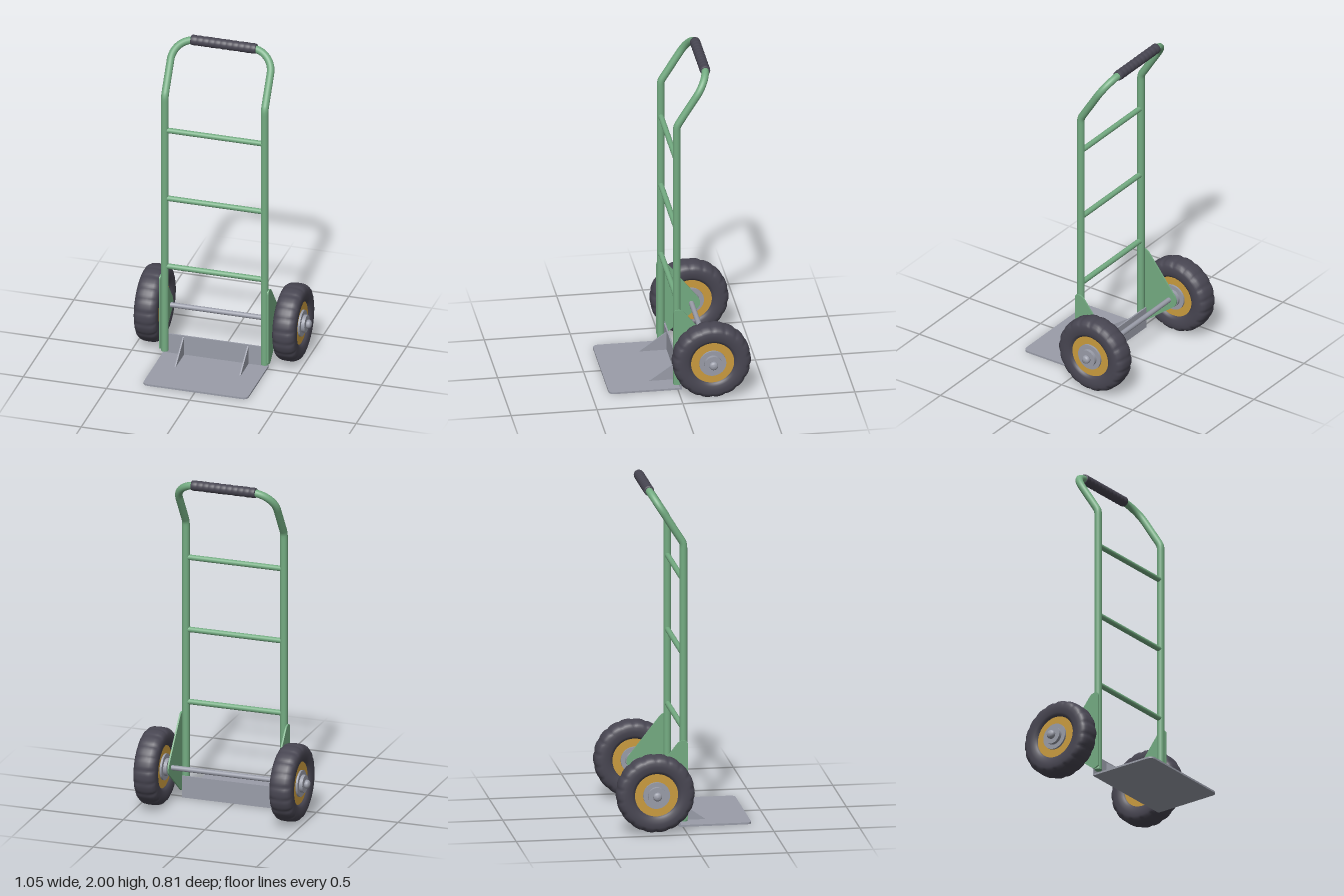
import * as THREE from 'three';
import { mergeVertices } from 'three/addons/utils/BufferGeometryUtils.js';

const mat = (name, color, side = THREE.FrontSide) => {
  const m = new THREE.MeshStandardMaterial({ color, side });
  m.name = name;
  return m;
};
const V = (x, y, z) => new THREE.Vector3(x, y, z);
const points = list => list.map(([x, y]) => new THREE.Vector2(x, y));

export function createModel() {
  const green = mat('green paint', 0x74ac82);
  const steel = mat('steel', 0x9a9da9);
  const rubber = mat('dark rubber', 0x484652);
  const gold = mat('yellow rim', 0xcb9c3e);

  const root = new THREE.Group();
  root.name = 'handTruck';
  const add = (name, geometry, material, x = 0, y = 0, z = 0, parent = root) => {
    const mesh = new THREE.Mesh(geometry, material);
    mesh.name = name;
    mesh.position.set(x, y, z);
    parent.add(mesh);
    return mesh;
  };
  // cylinder lying along x
  const rod = (r, length, seg = 24) =>
    new THREE.CylinderGeometry(r, r, length, seg).rotateZ(Math.PI / 2);
  // outline in (z, y), extruded along x and centred on x = 0
  const sidePlate = (shape, thickness) =>
    new THREE.ExtrudeGeometry(shape, { depth: thickness, bevelEnabled: false, curveSegments: 10 })
      .translate(0, 0, -thickness / 2).rotateY(-Math.PI / 2);

  const postX = 0.3, postZ = 0.005, tubeR = 0.022;
  const bendY = 1.68, topY = 1.97, topZ = -0.178;
  const axleY = 0.233, axleZ = -0.178;

  // Bent tube frame: two posts, leaning back into a rounded handle
  const leanLength = Math.hypot(topY - bendY, topZ - postZ);
  const lean = (x, d) => V(x, bendY + (topY - bendY) * d / leanLength,
    postZ + (topZ - postZ) * d / leanLength);
  const half = side => {
    const x = side * postX, c = 0.13, k = 0.45;
    return {
      foot: V(x, 0.035, postZ), low: V(x, bendY - 0.02, postZ), knee: V(x, bendY, postZ),
      up: lean(x, 0.02), corner0: lean(x, leanLength - c),
      ctrl0: lean(x, leanLength - c * k), ctrl1: lean(side * (postX - c * k), leanLength),
      corner1: lean(side * (postX - c), leanLength),
    };
  };
  const l = half(-1), r = half(1);
  const path = new THREE.CurvePath();
  path.add(new THREE.LineCurve3(l.foot, l.low));
  path.add(new THREE.QuadraticBezierCurve3(l.low, l.knee, l.up));
  path.add(new THREE.LineCurve3(l.up, l.corner0));
  path.add(new THREE.CubicBezierCurve3(l.corner0, l.ctrl0, l.ctrl1, l.corner1));
  path.add(new THREE.LineCurve3(l.corner1, r.corner1));
  path.add(new THREE.CubicBezierCurve3(r.corner1, r.ctrl1, r.ctrl0, r.corner0));
  path.add(new THREE.LineCurve3(r.corner0, r.up));
  path.add(new THREE.QuadraticBezierCurve3(r.up, r.knee, r.low));
  path.add(new THREE.LineCurve3(r.low, r.foot));
  add('frameTube', new THREE.TubeGeometry(path, 260, tubeR, 20), green);

  // Cross rungs
  for (const y of [0.58, 1.02, 1.46]) add('rung', rod(0.016, 0.58), green, 0, y, postZ);

  // Ribbed hand grip
  const gripHalf = 0.195, gripProfile = [[0.02, -gripHalf]];
  for (let i = 0; i <= 88; i++) {
    const t = i / 88;
    gripProfile.push([0.0285 + 0.002 * Math.abs(Math.sin(t * Math.PI * 11)),
      -gripHalf + 2 * gripHalf * t]);
  }
  gripProfile.push([0.02, gripHalf]);
  add('handGrip', new THREE.LatheGeometry(points(gripProfile), 24).rotateZ(Math.PI / 2),
    rubber, 0, topY, topZ);

  // Toe plate with rounded front corners
  const w = 0.315, front = 0.4, back = -0.02, cr = 0.035;
  const toe = new THREE.Shape();
  toe.moveTo(-w, -back);
  toe.lineTo(-w, -front + cr);
  toe.quadraticCurveTo(-w, -front, -w + cr, -front);
  toe.lineTo(w - cr, -front);
  toe.quadraticCurveTo(w, -front, w, -front + cr);
  toe.lineTo(w, -back);
  add('toePlate', new THREE.ExtrudeGeometry(toe,
    { depth: 0.011, bevelEnabled: false, curveSegments: 8 }).rotateX(-Math.PI / 2), steel);
  add('backPlate', new THREE.BoxGeometry(2 * w, 0.132, 0.009), steel, 0, 0.066, -0.0175);

  // Triangular ribs on the toe plate
  const rib = new THREE.Shape(points([[-0.015, 0.008], [0.145, 0.008], [0.145, 0.013], [-0.015, 0.125]]));
  for (const s of [-1, 1]) add('toeRib', sidePlate(rib, 0.008), steel, s * 0.194);

  // Axle brackets
  const bracket = new THREE.Shape();
  bracket.moveTo(0.026, 0.05);
  bracket.lineTo(0.026, 0.495);
  bracket.quadraticCurveTo(0.024, 0.516, 0.004, 0.516);
  bracket.quadraticCurveTo(-0.022, 0.516, -0.038, 0.495);
  bracket.lineTo(-0.215, 0.27);
  bracket.quadraticCurveTo(-0.242, 0.232, -0.215, 0.2);
  bracket.lineTo(-0.02, 0.045);
  bracket.quadraticCurveTo(0, 0.03, 0.026, 0.05);
  for (const s of [-1, 1]) add('axleBracket', sidePlate(bracket, 0.009), green, s * 0.3245);

  add('axle', rod(0.015, 1.0), steel, 0, axleY, axleZ);

  // Tyre: lathed section with shallow tread grooves pressed into the outer rim
  const tyre = new THREE.LatheGeometry(points([
    [0.122, -0.045], [0.131, -0.058], [0.145, -0.066], [0.17, -0.069], [0.192, -0.068],
    [0.208, -0.062], [0.219, -0.05], [0.225, -0.034], [0.227, -0.012],
    [0.227, 0.012], [0.225, 0.034], [0.219, 0.05], [0.208, 0.062],
    [0.192, 0.068], [0.17, 0.069], [0.145, 0.066], [0.131, 0.058], [0.122, 0.045],
  ]), 144);
  const pos = tyre.attributes.position;
  for (let i = 0; i < pos.count; i++) {
    const x = pos.getX(i), z = pos.getZ(i), rad = Math.hypot(x, z);
    if (rad < 0.2) continue;
    const groove = Math.pow(0.5 + 0.5 * Math.cos(18 * Math.atan2(z, x)), 4);
    const f = 1 - 0.026 * groove * Math.min(1, 0.3 + Math.abs(pos.getY(i)) / 0.06);
    pos.setX(i, x * f);
    pos.setZ(i, z * f);
  }
  tyre.deleteAttribute('uv');
  tyre.deleteAttribute('normal');
  const tyreGeo = mergeVertices(tyre, 1e-5);
  tyreGeo.computeVertexNormals();
  tyreGeo.rotateZ(-Math.PI / 2);

  // Rounded axle cap, pointing along +x
  const cap = new THREE.LatheGeometry(points([
    [0.018, 0], [0.024, 0.003], [0.026, 0.01], [0.025, 0.018], [0.021, 0.025], [0.013, 0.029], [0, 0.031],
  ]), 24).rotateZ(-Math.PI / 2);

  // Wheels
  for (const s of [-1, 1]) {
    const wheel = new THREE.Group();
    wheel.name = s > 0 ? 'leftWheel' : 'rightWheel';
    wheel.position.set(s * 0.416, axleY, axleZ);
    if (s < 0) wheel.rotation.y = Math.PI;
    root.add(wheel);
    add('tyre', tyreGeo, rubber, 0, 0, 0, wheel);
    add('rim', rod(0.131, 0.1, 48), gold, 0, 0, 0, wheel);
    add('hubDisc', rod(0.078, 0.124, 40), steel, 0, 0, 0, wheel);
    add('hubFlange', rod(0.052, 0.164, 32), steel, 0, 0, 0, wheel);
    add('hubSpacer', rod(0.026, 0.03), steel, -0.08, 0, 0, wheel);
    add('axleCap', cap, steel, 0.08, 0, 0, wheel);
  }

  // Closed feet of the posts
  for (const s of [-1, 1])
    add('postFoot', new THREE.CylinderGeometry(tubeR, tubeR, 0.006, 20), green, s * postX, 0.036, postZ);

  return root;
}
